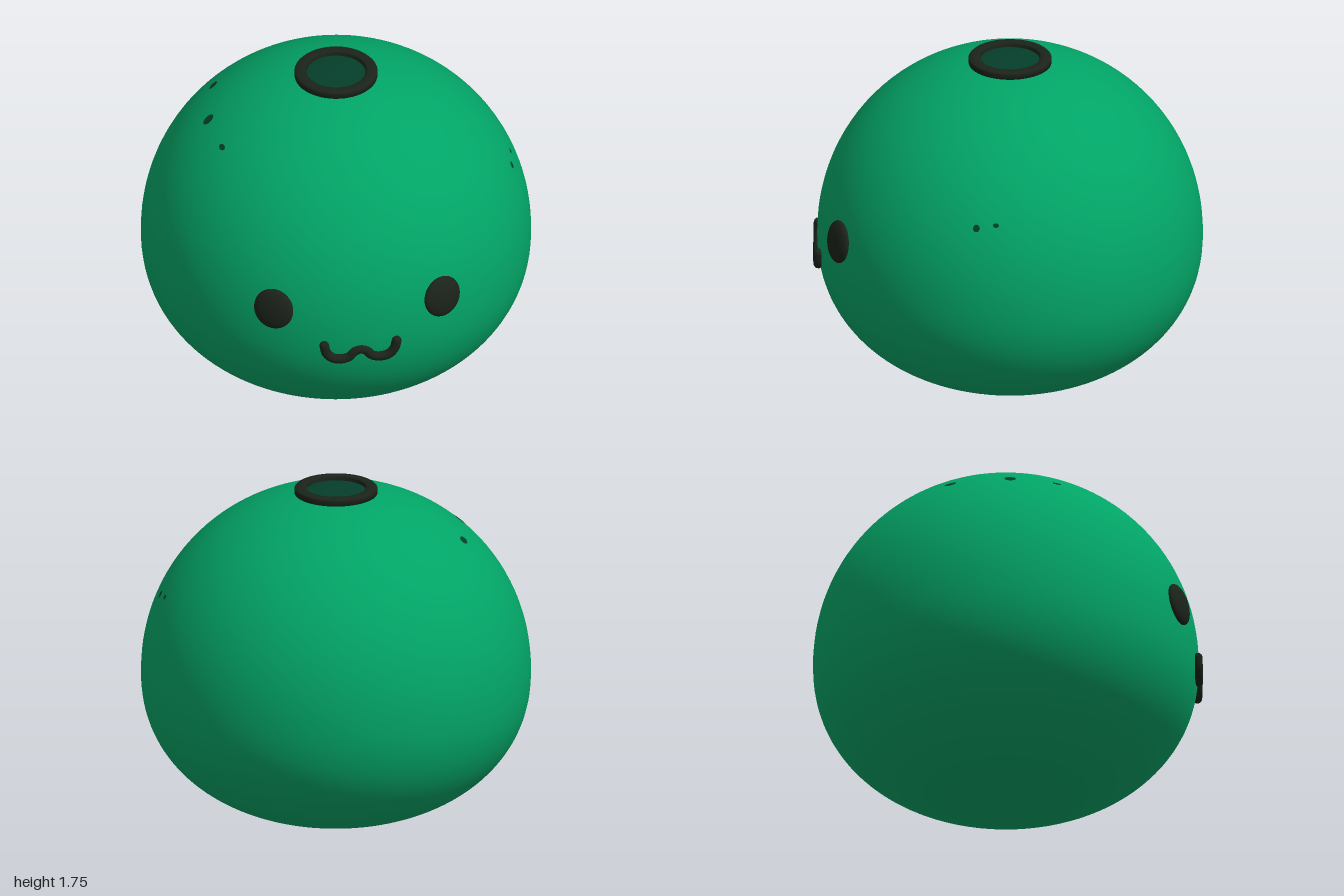
import * as THREE from 'three';

const CY = 0.75;           // height of the widest point
const CZ = -0.012;         // body centre in z
const DEPTH = 0.988;       // body is slightly narrower front to back
const UP = { b: 0.982, n: 2.05 };     // upper half: height and roundness
const DOWN = { b: 0.77, n: 2.2 };     // fuller lower half, cut flat at the ground

const green = new THREE.MeshStandardMaterial({ color: 0x02a466 });
green.name = 'jade green';
const dark = new THREE.MeshStandardMaterial({ color: 0x053f2b });
dark.name = 'inner dark green';
const black = new THREE.MeshStandardMaterial({ color: 0x1b231a });
black.name = 'soft black';

function add(parent, name, geometry, material) {
  const mesh = new THREE.Mesh(geometry, material);
  mesh.name = name;
  parent.add(mesh);
  return mesh;
}

// Height above or below the waist for a given distance from the axis
const rise = (r, half) => half.b * Math.pow(Math.max(0, 1 - Math.pow(r, half.n)), 1 / half.n);

// Distance from the axis at a given height
function radiusAt(y) {
  const half = y > CY ? UP : DOWN;
  return Math.pow(1 - Math.pow(Math.abs(y - CY) / half.b, half.n), 1 / half.n);
}

// Squat egg outline, from the flat base to the top
function bodyProfile() {
  const pts = [new THREE.Vector2(0, 0)];
  const n = 32, start = Math.asin(radiusAt(0));
  for (let i = 0; i <= n; i++) {
    const r = Math.sin(start + (Math.PI / 2 - start) * i / n);
    pts.push(new THREE.Vector2(r, Math.max(0, CY - rise(r, DOWN))));
  }
  for (let i = 1; i <= n; i++) {
    const r = i === n ? 0 : Math.cos(Math.PI / 2 * i / n);
    pts.push(new THREE.Vector2(r, CY + rise(r, UP)));
  }
  return pts;
}

// Outward direction of the body at a point on it
function surfaceNormal(p) {
  const half = p.y > CY ? UP : DOWN;
  const dz = (p.z - CZ) / DEPTH;
  const r = Math.hypot(p.x, dz);
  const k = Math.pow(r, half.n - 2);
  const t = (p.y - CY) / half.b;
  const ny = Math.sign(t) * Math.pow(Math.abs(t), half.n - 1) / half.b;
  return new THREE.Vector3(k * p.x, ny, k * dz / DEPTH).normalize();
}

export function createModel() {
  const model = new THREE.Group();
  model.name = 'roundPot';

  const body = add(model, 'body', new THREE.LatheGeometry(bodyProfile(), 96), green);
  body.scale.z = DEPTH;
  body.position.z = CZ;

  // Dark floor of the shallow opening, following the dome
  const floorProfile = [0.16, 0.12, 0.08, 0.04, 0].map(
    (r) => new THREE.Vector2(r, CY + rise(r, UP) + 0.003));
  add(model, 'openingFloor', new THREE.LatheGeometry(floorProfile, 48), dark).position.z = CZ;

  // Flat rim around the opening, with sharp corners softened by a small bevel
  const rimProfile = [
    [0.152, 1.7], [0.212, 1.7], [0.213, 1.737], [0.207, 1.744], [0.185, 1.748],
    [0.16, 1.746], [0.153, 1.74], [0.152, 1.7],
  ].map(([r, y]) => new THREE.Vector2(r, y));
  add(model, 'rim', new THREE.LatheGeometry(rimProfile, 64), black).position.z = CZ;

  // Slightly domed oval eyes lying on the surface
  for (const side of [-1, 1]) {
    const eye = add(model, side > 0 ? 'leftEye' : 'rightEye', new THREE.SphereGeometry(1, 40, 28), black);
    const x = side * 0.435, y = 0.9;
    const p = new THREE.Vector3(x, y, CZ + DEPTH * Math.sqrt(radiusAt(y) ** 2 - x * x));
    eye.position.copy(p);
    eye.lookAt(p.clone().add(surfaceNormal(p)));
    eye.scale.set(0.105, 0.111, 0.038);
  }

  // Wavy mouth with rounded ends
  const half = [[0.187, 0.716], [0.176, 0.672], [0.145, 0.639], [0.1, 0.63], [0.058, 0.642], [0.03, 0.672]];
  const path = [
    ...half.map(([x, y]) => [-x, y]), [0, 0.683],
    ...half.slice().reverse(),
  ].map(([x, y]) => new THREE.Vector3(x, y, 0.972 - 0.1 * x * x));
  const mouth = new THREE.Group();
  mouth.name = 'mouth';
  model.add(mouth);
  add(mouth, 'mouthLine', new THREE.TubeGeometry(new THREE.CatmullRomCurve3(path), 80, 0.025, 14), black);
  for (const end of [path[0], path[path.length - 1]]) {
    add(mouth, 'mouthEnd', new THREE.SphereGeometry(0.025, 16, 12), black).position.copy(end);
  }

  // Small dark specks in the skin: x, z, width, length
  const specks = [
    [-0.595, -0.305, 0.024, 0.032], [-0.66, 0, 0.034, 0.03], [-0.62, 0.24, 0.015, 0.024],
    [0.885, 0.16, 0.02, 0.018], [0.89, 0.06, 0.012, 0.016],
  ];
  for (const [x, z, w, l] of specks) {
    const p = new THREE.Vector3(x, CY + rise(Math.hypot(x, (z - CZ) / DEPTH), UP), z);
    const n = surfaceNormal(p);
    const speck = add(model, 'speck', new THREE.CircleGeometry(1, 10), dark);
    speck.position.copy(p).addScaledVector(n, 0.002);
    speck.lookAt(p.clone().add(n));
    speck.scale.set(l, w, 1);
  }

  return model;
}
